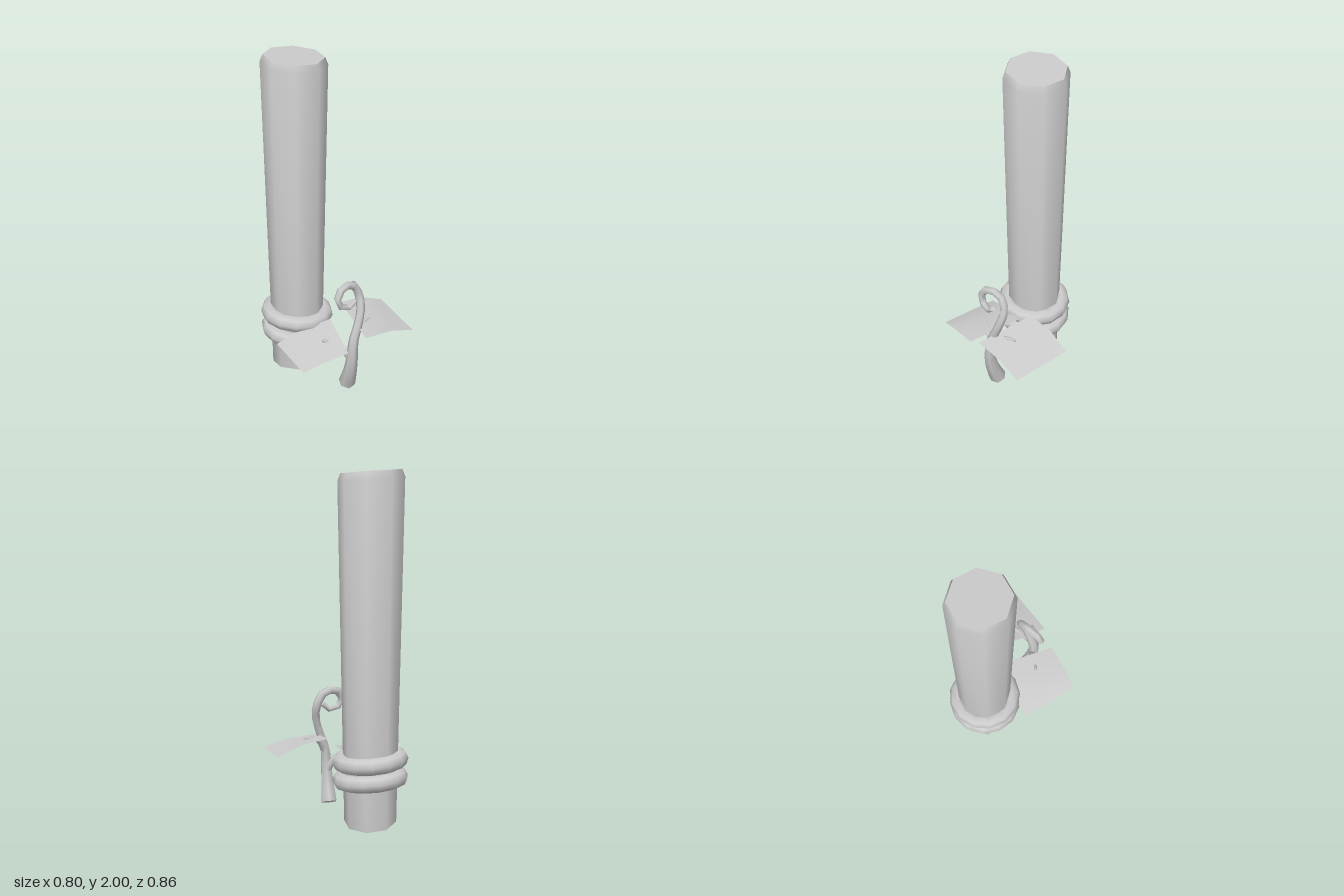
import * as THREE from 'three';
import { toCreasedNormals } from 'three/addons/utils/BufferGeometryUtils.js';

const material = new THREE.MeshStandardMaterial({ color: 0xcccccc });
const thinMaterial = new THREE.MeshStandardMaterial({ color: 0xcccccc, side: THREE.DoubleSide });
const CENTRE = [-0.02, 0, -0.215];

function named(name, geometry, mat = material) {
  const mesh = new THREE.Mesh(geometry, mat);
  mesh.name = name;
  return mesh;
}

// Flared eight-sided post whose two ends are cut on a slant
function makePost() {
  const profile = [[0, 0.03], [0.148, 0.03], [0.186, 1.945], [0.17, 1.986], [0, 1.986]];
  const geometry = new THREE.LatheGeometry(profile.map(p => new THREE.Vector2(...p)), 8);
  const pos = geometry.attributes.position;
  for (let i = 0; i < pos.count; i++) {
    const x = pos.getX(i), y = pos.getY(i), z = pos.getZ(i);
    pos.setY(i, y < 1 ? y - 0.15 * x + 0.13 * z : y - 0.06 * x - 0.04 * z);
  }
  const post = named('post', toCreasedNormals(geometry, 0.95));
  post.position.set(...CENTRE);
  return post;
}

// Rope loop lying around the post with a slight tilt
function makeRopeLoop(y, tiltX, tiltZ, turn) {
  const geometry = new THREE.TorusGeometry(0.167, 0.048, 8, 13);
  geometry.rotateX(Math.PI / 2).rotateY(turn);
  const loop = named('ropeLoop', geometry);
  loop.position.set(CENTRE[0], y, CENTRE[2]);
  loop.rotation.set(tiltX, 0, tiltZ);
  return loop;
}

// Tube whose radius follows a list of values, with both ends closed
function makeTaperedTube(name, points, radii, segments, sides = 6) {
  const curve = new THREE.CatmullRomCurve3(points.map(p => new THREE.Vector3(...p)));
  const geometry = new THREE.TubeGeometry(curve, segments, 1, sides);
  const pos = geometry.attributes.position;
  const v = new THREE.Vector3();
  const radiusAt = t => {
    const f = t * (radii.length - 1), i = Math.min(Math.floor(f), radii.length - 2);
    return THREE.MathUtils.lerp(radii[i], radii[i + 1], f - i);
  };
  for (let i = 0; i <= segments; i++) {
    const centre = curve.getPointAt(i / segments), r = radiusAt(i / segments);
    for (let j = 0; j <= sides; j++) {
      const k = i * (sides + 1) + j;
      v.fromBufferAttribute(pos, k).sub(centre).multiplyScalar(r).add(centre);
      pos.setXYZ(k, v.x, v.y, v.z);
    }
  }
  const group = new THREE.Group();
  group.name = name;
  group.add(named(name + 'Tube', geometry));
  for (const [t, sign] of [[0, -1], [1, 1]]) {
    const cap = named(name + 'End', new THREE.CircleGeometry(radiusAt(t), sides));
    cap.position.copy(curve.getPointAt(t));
    cap.lookAt(cap.position.clone().addScaledVector(curve.getTangentAt(t), sign));
    group.add(cap);
  }
  return group;
}

// Thin leaf folded across its middle, from its back and front edges
function makeLeaf(name, back, front) {
  const geometry = new THREE.BufferGeometry();
  geometry.setAttribute('position', new THREE.Float32BufferAttribute([...back, ...front].flat(), 3));
  const index = [];
  for (let i = 0; i < 2; i++) index.push(i, i + 3, i + 1, i + 1, i + 3, i + 4);
  geometry.setIndex(index);
  geometry.computeVertexNormals();
  return named(name, geometry, thinMaterial);
}

export function createModel() {
  const model = new THREE.Group();
  model.name = 'postWithVine';

  model.add(makePost());
  model.add(makeRopeLoop(0.383, 0.03, -0.07, 0));
  model.add(makeRopeLoop(0.277, 0.06, -0.04, 0.25));

  // Vine stem ending in a curl
  model.add(makeTaperedTube('vineStem', [
    [-0.022, 0.052, 0.183], [-0.035, 0.14, 0.215], [-0.042, 0.25, 0.238], [-0.035, 0.36, 0.24],
    [-0.002, 0.45, 0.242], [0.032, 0.54, 0.236], [0.047, 0.63, 0.21], [0.005, 0.708, 0.194],
    [-0.088, 0.71, 0.192], [-0.124, 0.65, 0.195], [-0.092, 0.602, 0.21], [-0.045, 0.6, 0.23], [-0.015, 0.632, 0.24],
  ], [0.05, 0.04, 0.033, 0.028, 0.025, 0.025, 0.025, 0.024, 0.02, 0.016], 18));

  // Twigs carrying the leaves
  model.add(makeTaperedTube('rightTwig',
    [[-0.04, 0.24, 0.225], [-0.07, 0.31, 0.19], [-0.115, 0.35, 0.15], [-0.16, 0.375, 0.112]],
    [0.025, 0.018, 0.014, 0.008], 5));
  model.add(makeTaperedTube('leftTwig',
    [[-0.03, 0.35, 0.24], [0.005, 0.405, 0.232], [0.06, 0.435, 0.225], [0.13, 0.443, 0.22]],
    [0.022, 0.017, 0.013, 0.007], 5));

  model.add(makeLeaf('rightLeaf',
    [[-0.275, 0.3, -0.14], [-0.155, 0.36, -0.075], [0.015, 0.4, 0.015]],
    [[-0.4, 0.303, 0.185], [-0.305, 0.335, 0.23], [-0.14, 0.357, 0.292]]));
  model.add(makeLeaf('leftLeaf',
    [[0.105, 0.477, 0.02], [0.26, 0.455, 0.05], [0.395, 0.397, 0.095]],
    [[-0.045, 0.432, 0.34], [0.135, 0.417, 0.385], [0.275, 0.375, 0.43]]));

  return model;
}
